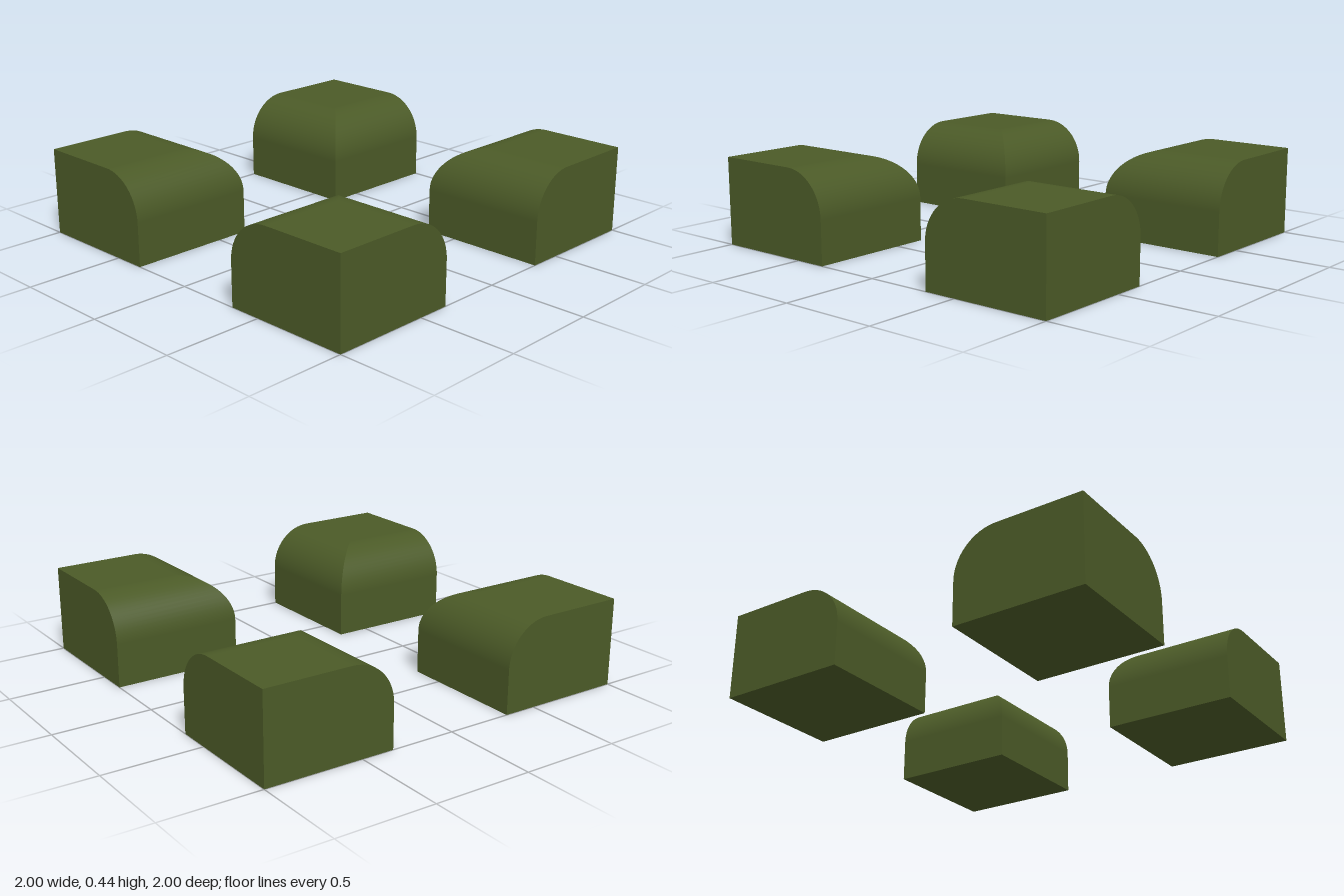
import * as THREE from 'three';

const INNER = 1 / 3, OUTER = 1, HEIGHT = 4 / 9, RADIUS = 2 / 9, STEPS = 16;

// One block with mitred round shoulders on its two inner sides
function blockGeometry() {
  const positions = [], normals = [], indices = [];

  // Each row is [start, end, normal]; consecutive rows are joined by quads
  const addStrip = (rows) => {
    const base = positions.length / 3;
    rows.forEach(([a, b, n], i) => {
      positions.push(...a, ...b);
      normals.push(...n, ...n);
      if (i === 0) return;
      const k = base + 2 * (i - 1);
      indices.push(k, k + 1, k + 3, k, k + 3, k + 2);
    });
  };

  // Profile: inset of the inner sides at each height, with the slope angle
  const profile = [{ r: INNER, y: 0, t: 0 }];
  for (let i = 0; i <= STEPS; i++) {
    const t = (i / STEPS) * Math.PI / 2;
    profile.push({
      r: INNER + RADIUS * (1 - Math.cos(t)),
      y: HEIGHT - RADIUS + RADIUS * Math.sin(t),
      t,
    });
  }

  // Rounded inner sides
  addStrip(profile.map(({ r, y, t }) => [[r, y, r], [r, y, OUTER], [-Math.cos(t), Math.sin(t), 0]]));
  addStrip(profile.map(({ r, y, t }) => [[OUTER, y, r], [r, y, r], [0, Math.sin(t), -Math.cos(t)]]));
  // Flat outer sides
  addStrip(profile.map(({ r, y }) => [[OUTER, y, OUTER], [OUTER, y, r], [1, 0, 0]]));
  addStrip(profile.map(({ r, y }) => [[r, y, OUTER], [OUTER, y, OUTER], [0, 0, 1]]));
  // Top and bottom
  const edge = INNER + RADIUS;
  addStrip([OUTER, edge].map((z) => [[edge, HEIGHT, z], [OUTER, HEIGHT, z], [0, 1, 0]]));
  addStrip([INNER, OUTER].map((z) => [[INNER, 0, z], [OUTER, 0, z], [0, -1, 0]]));

  const geometry = new THREE.BufferGeometry();
  geometry.setAttribute('position', new THREE.Float32BufferAttribute(positions, 3));
  geometry.setAttribute('normal', new THREE.Float32BufferAttribute(normals, 3));
  geometry.setIndex(indices);
  return geometry;
}

export function createModel() {
  const group = new THREE.Group();
  group.name = 'cornerBlocks';
  const olive = new THREE.MeshStandardMaterial({ color: 0x4b5a27 });
  olive.name = 'olive green';

  // The block is symmetric about its diagonal, so quarter turns give all four
  const geometry = blockGeometry();
  ['frontLeftBlock', 'backLeftBlock', 'backRightBlock', 'frontRightBlock'].forEach((name, i) => {
    const block = new THREE.Mesh(geometry, olive);
    block.name = name;
    block.rotation.y = i * Math.PI / 2;
    group.add(block);
  });
  return group;
}
